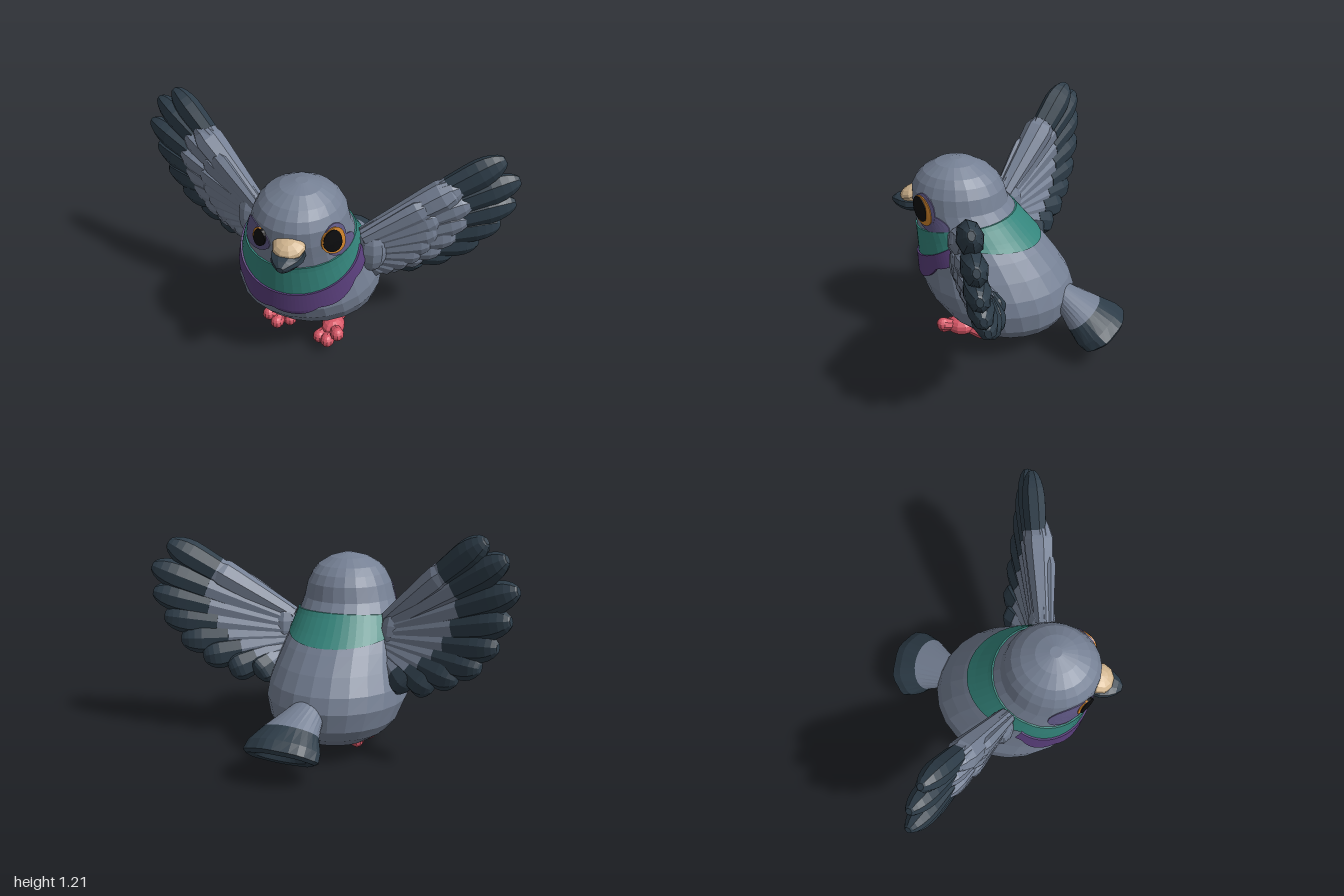
import * as THREE from 'three';

const V = (x, y, z) => new THREE.Vector3(x, y, z);
const mat = (name, color) => {
  const m = new THREE.MeshStandardMaterial({ color });
  m.name = name;
  return m;
};
const range = (n, f) => Array.from({ length: n }, (_, i) => f(i));

// Skin over rows of points, faceted; closed rows wrap round, caps close the ends
function skin(rows, closed = true, caps = true) {
  const pos = [];
  const tri = (...pts) => pts.forEach((p) => pos.push(p.x, p.y, p.z));
  const n = rows[0].length, cols = closed ? n : n - 1;
  for (let i = 0; i < rows.length - 1; i++) {
    for (let j = 0; j < cols; j++) {
      const k = (j + 1) % n;
      tri(rows[i][j], rows[i][k], rows[i + 1][k]);
      tri(rows[i][j], rows[i + 1][k], rows[i + 1][j]);
    }
  }
  if (caps) {
    const mid = (r) => r.reduce((s, p) => s.add(p), V(0, 0, 0)).divideScalar(n);
    const first = rows[0], last = rows[rows.length - 1];
    const c0 = mid(first), c1 = mid(last);
    for (let j = 0; j < n; j++) {
      const k = (j + 1) % n;
      tri(c0, first[k], first[j]);
      tri(c1, last[j], last[k]);
    }
  }
  const g = new THREE.BufferGeometry();
  g.setAttribute('position', new THREE.Float32BufferAttribute(pos, 3));
  g.computeVertexNormals();
  return g;
}

// Body cross-sections: y, back z, front z, right x, left x
const BODY = [
  [0.05, -0.06, 0.08, -0.12, 0.08], [0.08, -0.2, 0.17, -0.23, 0.18],
  [0.14, -0.29, 0.27, -0.32, 0.27], [0.2, -0.33, 0.36, -0.37, 0.32],
  [0.3, -0.345, 0.45, -0.405, 0.35], [0.38, -0.32, 0.485, -0.4, 0.345],
  [0.47, -0.26, 0.49, -0.37, 0.32], [0.56, -0.185, 0.495, -0.345, 0.295],
  [0.64, -0.11, 0.5, -0.32, 0.27], [0.72, -0.04, 0.51, -0.29, 0.25],
  [0.79, 0.015, 0.52, -0.262, 0.235], [0.87, 0.035, 0.52, -0.237, 0.22],
  [0.92, 0.065, 0.495, -0.21, 0.195], [0.96, 0.11, 0.455, -0.175, 0.165],
  [1.0, 0.18, 0.39, -0.105, 0.1], [1.02, 0.25, 0.31, -0.03, 0.03],
];

// Point on the body at angle a (0 = front, positive = left), raised by lift
function onBody(a, y, lift = 0) {
  let i = 0;
  while (i < BODY.length - 2 && y > BODY[i + 1][0]) i++;
  const t = (y - BODY[i][0]) / (BODY[i + 1][0] - BODY[i][0]);
  const [, z0, z1, x0, x1] = BODY[i].map((v, k) => v + (BODY[i + 1][k] - v) * t);
  return V((x0 + x1) / 2 + ((x1 - x0) / 2 + lift) * Math.sin(a), y,
    (z0 + z1) / 2 + ((z1 - z0) / 2 + lift) * Math.cos(a));
}

// Band lying on the body between two height rules, with turned-in edges
function band(a0, a1, lo, hi, lift, cols) {
  const row = (t, h) => range(cols + 1, (j) => {
    const a = a0 + (a1 - a0) * j / cols;
    return onBody(a, lo(a) + (hi(a) - lo(a)) * t, h);
  });
  return skin([row(0, -0.01), ...range(7, (i) => row(i / 6, lift)), row(1, -0.01)], false, false);
}

// Oval patch lying on the body
function patch(a, y, ra, ry, lift) {
  const ring = (r, h) => range(20, (j) => {
    const q = j / 20 * Math.PI * 2;
    return onBody(a + ra * r * Math.cos(q), y + ry * r * Math.sin(q), h);
  });
  return skin([ring(1, 0), ...[1, 0.75, 0.5, 0.25, 0.01].map((r) => ring(r, lift))], true, false);
}

// Flattened, blunt-ended blade from A to B; only the stretch t0..t1 is built
function blade(A, B, width, thick, normal, t0 = 0, t1 = 1) {
  const d = B.clone().sub(A).normalize();
  const n = normal.clone().addScaledVector(d, -normal.dot(d)).normalize();
  const s = n.clone().cross(d);
  return skin(range(9, (i) => {
    const t = t0 + (t1 - t0) * Math.sin(i / 8 * Math.PI / 2);
    const w = t < 0.8 ? 0.6 + 0.5 * t : Math.sqrt(1 - 0.93 * ((t - 0.8) / 0.2) ** 2);
    const c = A.clone().lerp(B, t);
    return range(8, (j) => {
      const q = j / 8 * Math.PI * 2;
      return c.clone().addScaledVector(s, Math.cos(q) * w * width / 2)
        .addScaledVector(n, Math.sin(q) * w * thick / 2);
    });
  }));
}

// Faceted ball stretched to the given radii
function ball(rx, ry, rz) {
  const g = new THREE.SphereGeometry(1, 10, 8).scale(rx, ry, rz).toNonIndexed();
  g.computeVertexNormals();
  return g;
}

export function createModel() {
  const grey = mat('greyPlumage', 0x758094), dark = mat('darkFeather', 0x2d3c48);
  const teal = mat('tealCollar', 0x34857c), purple = mat('purpleBib', 0x5a3f7c);
  const mauve = mat('mauveCheek', 0x605986), orange = mat('orangeIris', 0xd0842c);
  const black = mat('blackPupil', 0x0c0c0e), beige = mat('beigeCere', 0xd0b48e);
  const red = mat('redFoot', 0xd85767);

  const bird = new THREE.Group();
  bird.name = 'bird';
  const add = (name, geometry, material, parent = bird) => {
    const m = new THREE.Mesh(geometry, material);
    m.name = name;
    parent.add(m);
    return m;
  };
  const group = (name) => {
    const g = new THREE.Group();
    g.name = name;
    bird.add(g);
    return g;
  };

  // Body and head in one skin
  add('body', skin(BODY.map(([y]) => range(24, (j) => onBody(j / 12 * Math.PI, y)))), grey);

  // Neck bands, dipping towards the breast
  const seam = (a) => 0.645 - (Math.cos(a) > 0 ? 0.165 : -0.055) * Math.cos(a);
  const collarTop = (a) => 0.72 - (Math.cos(a) > 0 ? 0.06 : 0.025) * Math.cos(a);
  add('collar', band(-Math.PI, Math.PI, seam, collarTop, 0.007, 48), teal);
  add('bib', band(-1.55, 1.55,
    (a) => 0.62 - 0.235 * Math.cos(a) - 0.025 * Math.abs(Math.sin(a * 5 + 0.8)),
    (a) => seam(a) + 0.012, 0.016, 60), purple);

  // Cheeks and eyes
  const eyes = group('eyes');
  add('leftCheek', patch(1.2, 0.737, 0.38, 0.05, 0.005), mauve, eyes);
  add('leftEyeRing', patch(1.06, 0.805, 0.3, 0.078, 0.006), mauve, eyes);
  add('leftIris', patch(1.0, 0.795, 0.28, 0.076, 0.011), orange, eyes);
  add('leftPupil', patch(0.96, 0.8, 0.21, 0.064, 0.015), black, eyes);
  add('rightCheek', patch(-0.8, 0.78, 0.52, 0.075, 0.005), mauve, eyes);
  add('rightIris', patch(-0.58, 0.8, 0.18, 0.05, 0.01), orange, eyes);
  add('rightPupil', patch(-0.54, 0.8, 0.16, 0.05, 0.015), black, eyes);

  // Beak: pale cere over a dark hooked tip
  const beak = group('beak');
  const cere = add('cere', ball(0.082, 0.044, 0.08), beige, beak);
  cere.position.set(0.012, 0.8, 0.515);
  cere.rotation.x = 0.3;
  const bill = [[0.47, 0.745, 0.075, 0.045], [0.54, 0.742, 0.08, 0.05], [0.58, 0.745, 0.068, 0.045],
    [0.615, 0.748, 0.045, 0.034], [0.64, 0.748, 0.016, 0.014]];
  add('bill', skin(bill.map(([z, y, rx, ry]) => range(10, (j) => {
    const q = j / 5 * Math.PI;
    return V(0.01 + rx * Math.cos(q) * (1 + 0.3 * Math.sin(q)), y + ry * Math.sin(q), z);
  }))), dark, beak);

  // Wings: a fan of plump dark-tipped feathers with two rows of coverts on the front
  const wing = (name, side, rootTop, rootLow, tips) => {
    const g = group(name);
    const n = V(0.37 * side, -0.25, 1).normalize();
    const lift = (p, h) => p.clone().addScaledVector(n, h);
    tips.forEach(([x, y, z], i) => {
      const f = i / (tips.length - 1);
      const A = rootTop.clone().lerp(rootLow, f), B = V(x, y, z);
      const split = 0.62 - 0.1 * f;
      add('featherBase', blade(A, B, 0.165, 0.12, n, 0, split), grey, g);
      add('featherTip', blade(A, B, 0.168, 0.125, n, split, 1), dark, g);
      add('longCovert', blade(lift(A, 0.025), lift(A.clone().lerp(B, 0.7 - 0.07 * f), 0.035),
        0.15, 0.09, n), grey, g);
      add('shortCovert', blade(lift(A, 0.035), lift(A.clone().lerp(B, 0.48), 0.05),
        0.16, 0.09, n), grey, g);
    });
    // Leading edge and shoulder
    const edgeEnd = rootTop.clone().lerp(V(...tips[0]), 0.68);
    add('leadingEdge', blade(lift(rootTop, 0.01), lift(edgeEnd, 0.015), 0.17, 0.16, n), grey, g);
    const shoulder = add('shoulder', ball(0.08, 0.14, 0.075), grey, g);
    shoulder.position.copy(rootTop).lerp(rootLow, 0.4).add(V(0.04 * side, 0, 0.015));
  };
  wing('leftWing', 1, V(0.28, 0.67, 0.15), V(0.29, 0.48, 0.09), [
    [0.905, 1.075, -0.095], [0.985, 0.95, -0.14], [0.98, 0.81, -0.15], [0.92, 0.675, -0.145],
    [0.825, 0.55, -0.135], [0.7, 0.46, -0.12], [0.55, 0.39, -0.1], [0.41, 0.375, -0.065],
  ]);
  wing('rightWing', -1, V(-0.29, 0.71, 0.1), V(-0.3, 0.53, 0.05), [
    [-0.83, 1.185, -0.115], [-0.935, 1.11, -0.14], [-0.995, 0.965, -0.14], [-0.97, 0.82, -0.145],
    [-0.915, 0.685, -0.14], [-0.835, 0.57, -0.13], [-0.72, 0.49, -0.115], [-0.59, 0.42, -0.09],
    [-0.46, 0.4, -0.06],
  ]);

  // Tail: flared tube with an oblique, scalloped, hollow end
  const tail = group('tail');
  const oval = ([x, y, z, rx, hy, hz], wave = 0) => range(28, (j) => {
    const q = j / 14 * Math.PI, r = 1 + wave * Math.cos(q * 7);
    return V(x - rx * r * Math.cos(q), y + hy * r * Math.sin(q), z + hz * r * Math.sin(q));
  });
  const split = oval([0.035, 0.22, -0.425, 0.15, 0.07, -0.08]);
  add('tailBase', skin([oval([0.0, 0.275, -0.3, 0.09, 0.085, 0]), split]), grey, tail);
  add('tailFan', skin([
    split, oval([0.04, 0.165, -0.495, 0.19, 0.085, -0.1], 0.02),
    oval([0.04, 0.135, -0.535, 0.195, 0.078, -0.105], 0.03),
    oval([0.04, 0.125, -0.545, 0.175, 0.064, -0.09], 0.03),
    oval([0.04, 0.13, -0.54, 0.135, 0.045, -0.06]),
    oval([0.04, 0.15, -0.515, 0.1, 0.035, -0.04]),
  ]), dark, tail);

  // Feet: a chunky knuckle, three front toes and one back toe, with rounded toe ends
  const foot = (name, ankle, toes) => {
    const g = group(name);
    add('knuckle', ball(0.062, 0.05, 0.08), red, g).position.copy(ankle);
    toes.forEach((t) => {
      const end = V(...t);
      add('toe', blade(ankle, end, 0.075, 0.07, V(0, 1, 0.01)), red, g);
      add('toeEnd', ball(0.036, 0.036, 0.036), red, g).position.copy(end.lerp(ankle, 0.15));
    });
  };
  foot('leftFoot', V(0.15, 0.095, 0.23),
    [[0.085, 0.055, 0.31], [0.145, 0.065, 0.345], [0.205, 0.12, 0.33], [0.15, 0.06, 0.08]]);
  foot('rightFoot', V(-0.17, 0.065, 0.13),
    [[-0.23, 0.07, 0.23], [-0.17, 0.03, 0.25], [-0.1, 0.03, 0.2], [-0.15, 0.035, 0.0]]);

  return bird;
}
